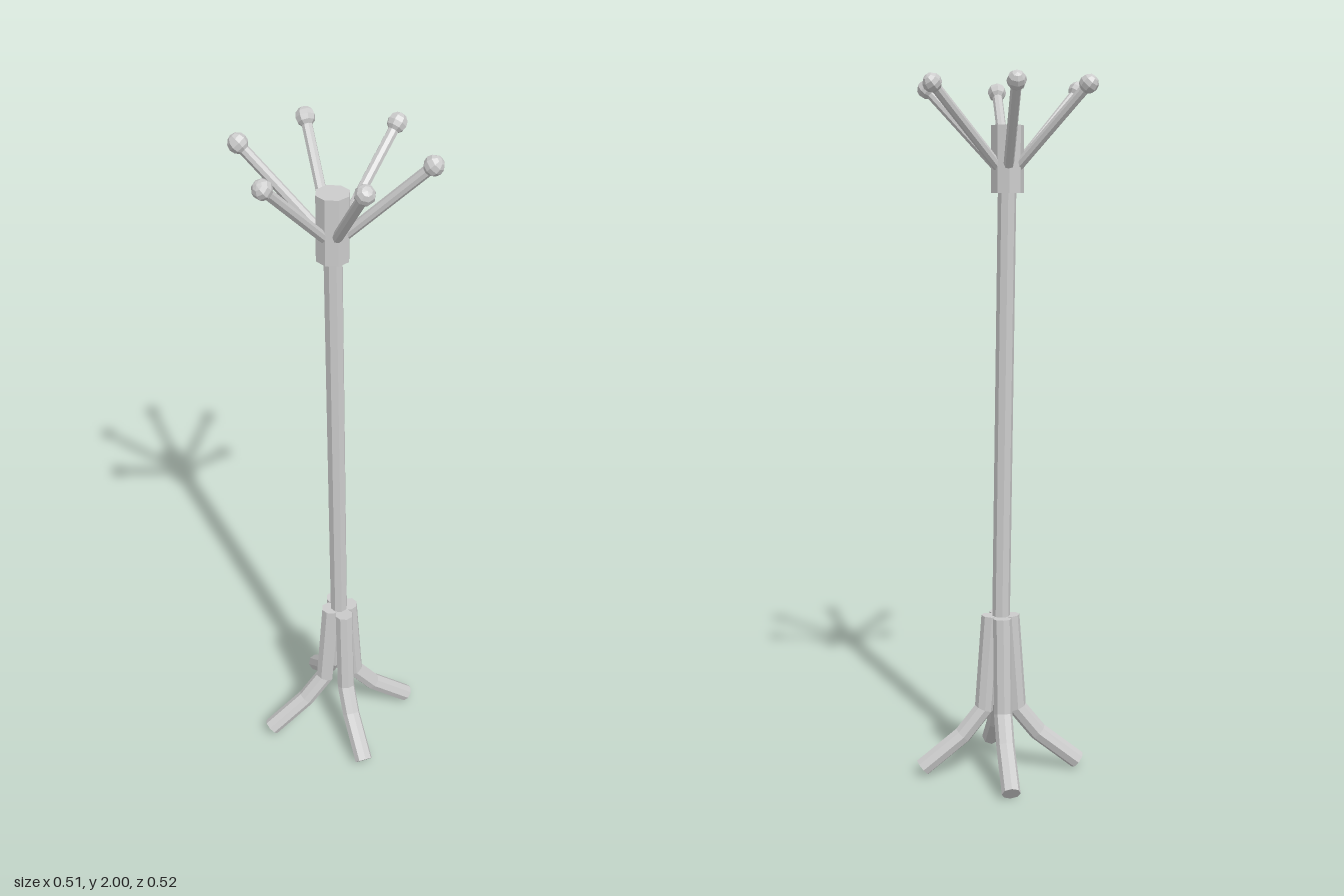
import * as THREE from 'three';

const material = new THREE.MeshStandardMaterial({ color: 0xcccccc, flatShading: true });

function addMesh(parent, geometry, name) {
  const mesh = new THREE.Mesh(geometry, material);
  mesh.name = name;
  parent.add(mesh);
  return mesh;
}

// Straight eight-sided rod between two points
function rod(a, b, radius) {
  const dir = b.clone().sub(a);
  const geometry = new THREE.CylinderGeometry(radius, radius, dir.length(), 8);
  geometry.applyQuaternion(new THREE.Quaternion().setFromUnitVectors(
    new THREE.Vector3(0, 1, 0), dir.normalize()));
  const mid = a.clone().add(b).multiplyScalar(0.5);
  return geometry.translate(mid.x, mid.y, mid.z);
}

// Cylinder bent along a path in the x-y plane, mitred at each bend (path runs top to bottom)
function bentRod(path, radius) {
  const n = path.length - 1;
  const geometry = new THREE.CylinderGeometry(radius, radius, 1, 8, n);
  const pos = geometry.attributes.position;
  const dirs = path.slice(1).map((p, i) => p.clone().sub(path[i]).normalize());
  for (let i = 0; i < pos.count; i++) {
    const row = Math.round((0.5 - pos.getY(i)) * n);
    const before = dirs[Math.max(row - 1, 0)];
    const after = dirs[Math.min(row, n - 1)];
    const tangent = before.clone().add(after).normalize();
    const across = pos.getX(i) / tangent.dot(after);
    pos.setXY(i, path[row].x - tangent.y * across, path[row].y + tangent.x * across);
  }
  geometry.computeVertexNormals();
  return geometry;
}

export function createModel() {
  const model = new THREE.Group();
  model.name = 'coatStand';
  const baseX = 0.016, topX = -0.004;

  // Slightly leaning pole and the hub on top of it
  addMesh(model, rod(new THREE.Vector3(baseX - 0.001, 0.4, 0),
    new THREE.Vector3(topX, 1.75, 0), 0.026), 'pole');
  addMesh(model, new THREE.CylinderGeometry(0.046, 0.046, 0.185, 8), 'hub')
    .position.set(topX, 1.778, 0);

  // Four splayed legs; the front and back pair sits a little further out at the top
  for (let i = 0; i < 4; i++) {
    const out = i % 2 ? 0.041 : 0.029;
    const path = [[out, 0.475], [out + 0.02, 0.195], [0.112, 0.116], [0.23, 0.022]]
      .map(([x, y]) => new THREE.Vector2(x, y));
    const leg = addMesh(model, bentRod(path, 0.0268), 'leg');
    leg.position.x = baseX;
    leg.rotation.y = i * Math.PI / 2;
  }

  // Six hooks, each an arm ending in a ball
  const tips = [[0.214, -0.123], [0.207, 0.14], [-0.005, 0.232],
    [-0.223, 0.125], [-0.205, -0.14], [0.004, -0.236]];
  for (const [x, z] of tips) {
    const hook = new THREE.Group();
    hook.name = 'hook';
    const tip = new THREE.Vector3(x, 1.974, z);
    const root = new THREE.Vector3(topX + (x - topX) * 0.08, 1.745, z * 0.08);
    addMesh(hook, rod(root, tip, 0.0145), 'arm');
    const ball = addMesh(hook, new THREE.SphereGeometry(0.027, 8, 6), 'ball');
    ball.position.copy(tip);
    ball.quaternion.setFromUnitVectors(new THREE.Vector3(0, 1, 0), tip.clone().sub(root).normalize());
    model.add(hook);
  }
  return model;
}
